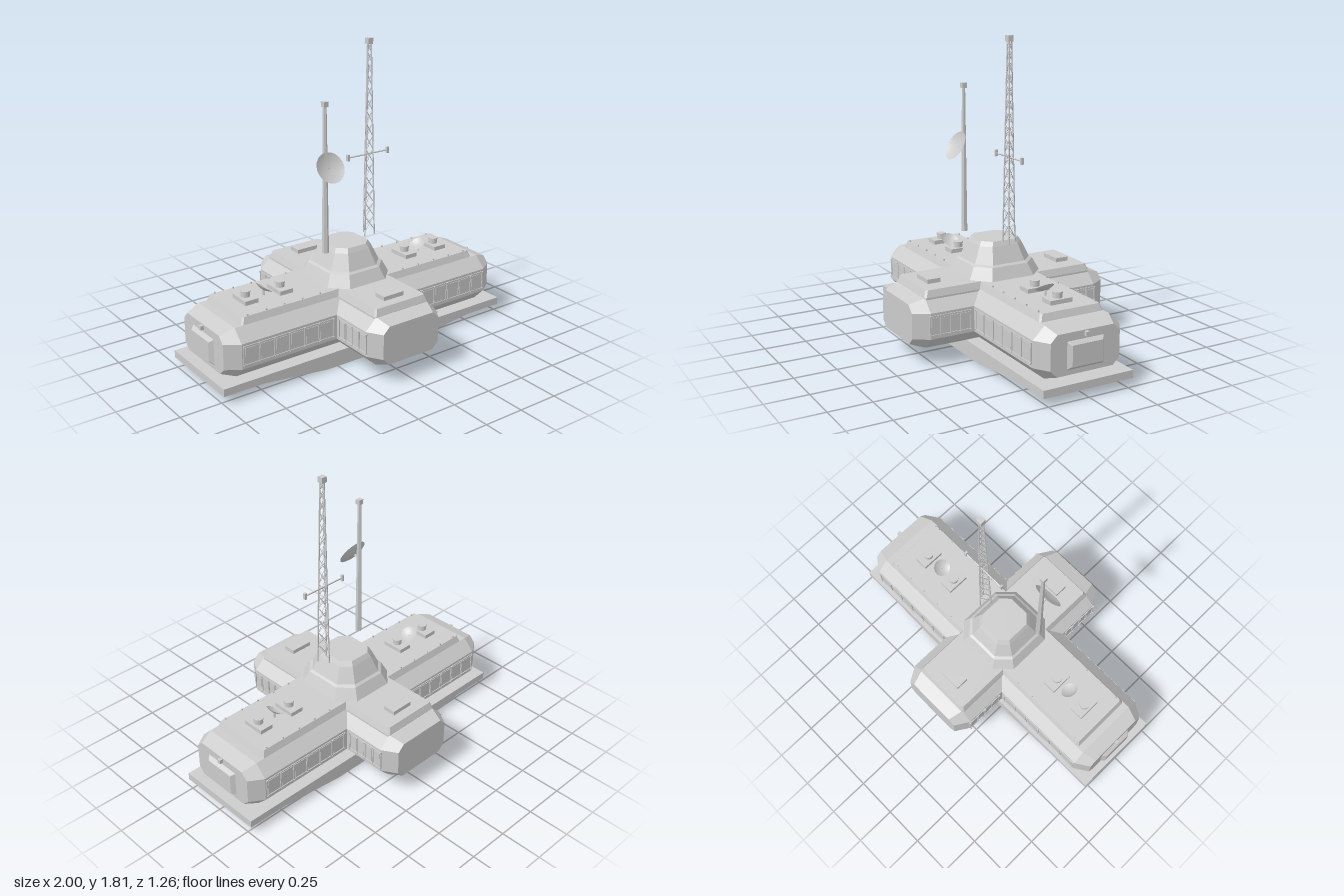
import * as THREE from 'three';
import { mergeGeometries } from 'three/addons/utils/BufferGeometryUtils.js';

const hullGrey = new THREE.MeshStandardMaterial({ color: 0xcccccc, flatShading: true, side: THREE.DoubleSide });
hullGrey.name = 'hullGrey';

// Chamfered rectangle ring at depth z, counter-clockwise seen from +z
function ring(z, a, b, c, d, cy = 0) {
  return [[a, -b + d], [a, b - d], [a - c, b], [-a + c, b], [-a, b - d], [-a, -b + d], [-a + c, -b], [a - c, -b]]
    .map(([x, y]) => [x, y + cy, z]);
}

// Skin a stack of rings along +z and cap both ends
function loft(rings) {
  const pos = [];
  const tri = (...pts) => pts.forEach((p) => pos.push(...p));
  const n = rings[0].length;
  for (let i = 0; i < rings.length - 1; i++) {
    for (let j = 0; j < n; j++) {
      const k = (j + 1) % n, lo = rings[i], hi = rings[i + 1];
      tri(lo[j], lo[k], hi[k]);
      tri(lo[j], hi[k], hi[j]);
    }
  }
  const first = rings[0], last = rings[rings.length - 1];
  for (let j = 1; j < n - 1; j++) {
    tri(first[0], first[j + 1], first[j]);
    tri(last[0], last[j], last[j + 1]);
  }
  const g = new THREE.BufferGeometry();
  g.setAttribute('position', new THREE.Float32BufferAttribute(pos, 3));
  g.computeVertexNormals();
  return g;
}

const box = (w, h, d, x, y, z) => new THREE.BoxGeometry(w, h, d).translate(x, y, z);
const cyl = (rt, rb, h, n, x, y, z) => new THREE.CylinderGeometry(rt, rb, h, n).translate(x, y, z);

// Thin rod between two points
function rod(a, b, r) {
  const dir = b.clone().sub(a);
  const g = new THREE.CylinderGeometry(r, r, dir.length(), 5);
  g.applyQuaternion(new THREE.Quaternion().setFromUnitVectors(new THREE.Vector3(0, 1, 0), dir.normalize()));
  const m = a.clone().add(b).multiplyScalar(0.5);
  return g.translate(m.x, m.y, m.z);
}

// Shallow bowl opening along +y, rim at the origin
function bowl(r, depth) {
  const pts = [];
  for (let i = 0; i <= 6; i++) {
    const t = i / 6;
    pts.push(new THREE.Vector2(r * t, depth * (t * t - 1)));
  }
  return new THREE.LatheGeometry(pts, 24);
}

export function createModel() {
  const model = new THREE.Group();
  const add = (name, geo, parent = model) => {
    const m = new THREE.Mesh(Array.isArray(geo) ? mergeGeometries(geo) : geo, hullGrey);
    m.name = name;
    parent.add(m);
    return m;
  };

  // Base slab with the shallow keel below
  const s = new THREE.Shape([[-1, 0.05], [-0.75, 0.05], [-0.32, 0], [0.32, 0], [0.75, 0.05], [1, 0.05], [1, 0.095], [-1, 0.095]]
    .map(([x, y]) => new THREE.Vector2(x, y)));
  add('basePlatform', new THREE.ExtrudeGeometry(s, { depth: 0.56, bevelEnabled: false }).translate(0, 0, -0.28));

  // Two crossing octagonal hulls
  const hull = (half, width, shoulder) => loft([
    ring(-half, width - 0.055, 0.115, 0.04, 0.04, 0.245),
    ring(-shoulder, width, 0.145, 0.07, 0.07, 0.245),
    ring(shoulder, width, 0.145, 0.07, 0.07, 0.245),
    ring(half, width - 0.055, 0.115, 0.04, 0.04, 0.245),
  ]);
  add('longHull', hull(0.96, 0.27, 0.875).rotateY(Math.PI / 2));
  add('crossHull', hull(0.63, 0.25, 0.54));

  // Raised roof decks
  const deck = (x, z) => loft([ring(0.38, x, z, 0.01, 0.01), ring(0.39, x, z, 0.01, 0.01),
    ring(0.43, x - 0.015, z - 0.015, 0.01, 0.01)]).rotateX(-Math.PI / 2);
  add('longRoofDeck', deck(0.83, 0.2));
  add('crossRoofDeck', deck(0.19, 0.545));

  // Stepped control tower
  add('tower', loft([
    ring(0.42, 0.225, 0.235, 0.095, 0.095), ring(0.5, 0.187, 0.195, 0.08, 0.08),
    ring(0.51, 0.172, 0.18, 0.075, 0.075), ring(0.605, 0.13, 0.138, 0.055, 0.055),
    ring(0.632, 0.115, 0.122, 0.05, 0.05),
  ]).rotateX(-Math.PI / 2));

  // Window bands: thin panes between rails, mullions and bolts
  const windowBand = (length, count) => {
    const parts = [box(length, 0.006, 0.008, 0, 0.303, 0), box(length, 0.006, 0.008, 0, 0.192, 0)];
    const step = length / count;
    for (let i = 0; i <= count; i++) {
      const x = -length / 2 + i * step;
      parts.push(box(0.006, 0.108, 0.008, x, 0.247, 0));
      for (const y of [0.192, 0.303]) parts.push(box(0.007, 0.007, 0.014, x, y, 0.002));
      if (i < count) parts.push(box(step - 0.018, 0.092, 0.004, x + step / 2, 0.247, 0));
    }
    return mergeGeometries(parts);
  };
  for (const sx of [-1, 1]) {
    for (const sz of [-1, 1]) {
      const long = add('longHullWindows', windowBand(0.59, 6));
      long.position.set(sx * 0.57, 0, sz * 0.271);
      if (sz < 0) long.rotation.y = Math.PI;
      const cross = add('crossHullWindows', windowBand(0.25, 4));
      cross.position.set(sx * 0.251, 0, sz * 0.42);
      cross.rotation.y = sx * Math.PI / 2;
    }
  }

  // Small bolts along the roof edges
  const bolts = [];
  for (const sx of [-1, 1]) {
    for (const sz of [-1, 1]) {
      for (let i = 0; i < 5; i++) bolts.push(box(0.008, 0.012, 0.008, sx * (0.3 + i * 0.12), 0.433, sz * 0.178));
    }
  }
  add('roofBolts', bolts);

  for (const side of [-1, 1]) {
    const end = new THREE.Group();
    end.name = side > 0 ? 'leftWingFittings' : 'rightWingFittings';
    model.add(end);

    // Tapered end door with a lamp above it
    add('endDoor', loft([ring(0.95, 0.115, 0.078, 0.004, 0.004, 0.236), ring(0.96, 0.115, 0.078, 0.004, 0.004, 0.236),
      ring(0.983, 0.095, 0.06, 0.004, 0.004, 0.236)]).rotateY(side * Math.PI / 2), end);
    add('doorLamp', box(0.03, 0.024, 0.022, side * 0.966, 0.342, 0), end);

    // Roof vents
    for (const x of [0.455, 0.685]) {
      add('ventBase', box(0.085, 0.026, 0.14, side * x, 0.442, 0), end);
      add('ventCap', [cyl(0.027, 0.027, 0.03, 16, side * x, 0.468, 0), cyl(0.03, 0.03, 0.01, 16, side * x, 0.485, 0)], end);
    }

    // Small tilted roof dish
    const dish = add('roofDish', bowl(0.053, 0.016), end);
    dish.position.set(side * 0.56, 0.475, 0);
    dish.rotation.z = side * 0.6;
    add('roofDishStand', cyl(0.006, 0.008, 0.035, 6, side * 0.567, 0.443, 0), end);

    // Hatch on the cross hull
    add('roofHatch', box(0.14, 0.026, 0.08, 0, 0.442, side * 0.43));
  }

  // Solid mast with the large dish
  const mast = new THREE.Group();
  mast.name = 'dishMast';
  mast.position.set(-0.2, 0, 0.09);
  model.add(mast);
  add('mastPole', cyl(0.011, 0.02, 0.86, 6, 0, 1.06, 0), mast);
  add('mastCap', box(0.03, 0.03, 0.03, 0, 1.5, 0), mast);
  const bigDish = add('largeDish', bowl(0.09, 0.022), mast);
  bigDish.position.set(0, 1.15, 0.055);
  bigDish.rotation.x = Math.PI / 3;
  add('dishArm', rod(new THREE.Vector3(0, 1.13, 0), new THREE.Vector3(0, 1.14, 0.037), 0.007), mast);

  // Three-legged lattice mast
  const lattice = new THREE.Group();
  lattice.name = 'latticeMast';
  lattice.position.set(0.17, 0, 0);
  model.add(lattice);
  const corner = (leg, y) => {
    const r = THREE.MathUtils.lerp(0.04, 0.013, (y - 0.63) / 1.15);
    const a = Math.PI / 6 + leg * Math.PI * 2 / 3;
    return new THREE.Vector3(Math.cos(a) * r, y, Math.sin(a) * r);
  };
  const legs = [], braces = [];
  const levels = 15;
  const levelY = (i) => 0.66 + 1.12 * (1 - Math.pow(1 - i / levels, 1.15));
  for (let leg = 0; leg < 3; leg++) {
    const next = (leg + 1) % 3;
    legs.push(rod(corner(leg, 0.63), corner(leg, 1.78), 0.0045));
    for (let i = 0; i < levels; i++) {
      const y0 = levelY(i), y1 = levelY(i + 1);
      braces.push(rod(corner(leg, y0), corner(next, y1), 0.0022), rod(corner(next, y0), corner(leg, y1), 0.0022));
    }
  }
  add('latticeLegs', legs, lattice);
  add('latticeBraces', braces, lattice);
  add('latticeCap', box(0.034, 0.034, 0.034, 0, 1.793, 0), lattice);

  // Cross arm with end plates
  add('crossArm', rod(new THREE.Vector3(-0.145, 1.13, 0), new THREE.Vector3(0.14, 1.13, 0), 0.0045), lattice);
  for (const x of [-0.145, 0.14]) add('crossArmEnd', box(0.014, 0.038, 0.016, x, 1.13, 0), lattice);

  return model;
}
